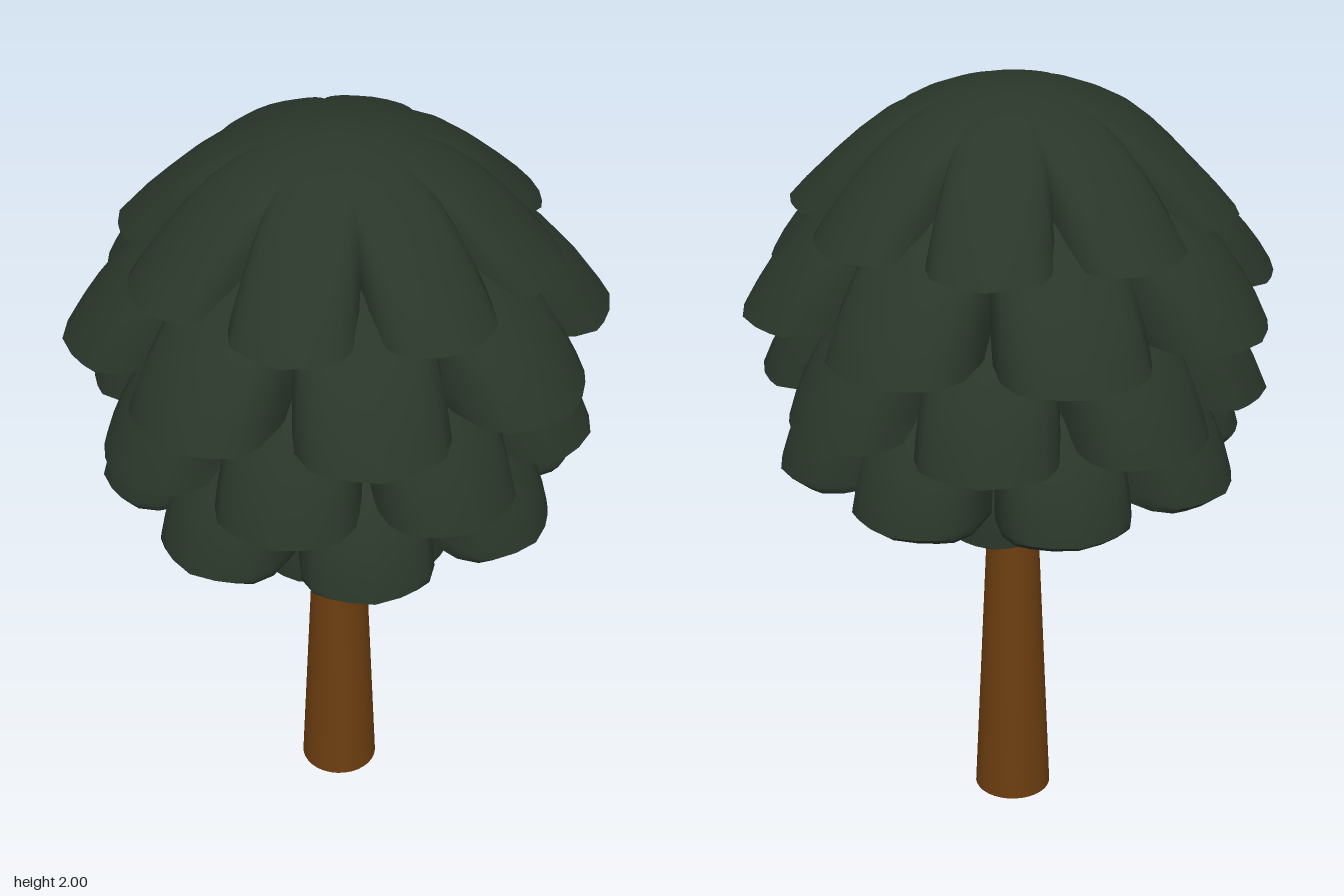
import * as THREE from 'three';
import { toCreasedNormals } from 'three/addons/utils/BufferGeometryUtils.js';

const LOBES = 8;
// Half of one lobe: [angle from the lobe's middle in degrees, radius factor]
const HALF = [[0, 1], [6.3, 0.98], [11, 0.955], [14.6, 0.93], [18.4, 0.854], [20.9, 0.733], [22.5, 0.612]];

// Full scalloped outline as [angle, factor] pairs, one turn
function scallops() {
  const lobe = [...HALF.slice(1, -1).reverse().map(([a, f]) => [-a, f]), ...HALF];
  const out = [];
  for (let i = 0; i < LOBES; i++) {
    for (const [a, f] of lobe) out.push([THREE.MathUtils.degToRad(a + i * 360 / LOBES), f]);
  }
  return out;
}

// A tier is a dome that becomes scalloped towards its rim, closed underneath.
// profile: [radius, y] from top to rim; under: [radius, y] from rim to the middle
function tierGeometry(profile, under) {
  const outline = scallops();
  const n = outline.length;
  const [rim, rimY] = profile[profile.length - 1];
  const topY = profile[0][1];
  const pos = [];
  const index = [];
  const rings = [...profile, ...under];
  rings.forEach(([r, y]) => {
    const w = Math.pow(r / rim, 2.5);
    const lift = 0.06 * Math.max(0, 1 - (y - rimY) / (topY - rimY));
    for (const [a, f] of outline) {
      const k = r * (1 - (1 - f) * w);
      pos.push(k * Math.sin(a), y + lift * (1 - f) * w, k * Math.cos(a));
    }
  });
  for (let i = 0; i < rings.length - 1; i++) {
    for (let j = 0; j < n; j++) {
      const j2 = (j + 1) % n;
      const a = i * n + j, b = a + n, c = (i + 1) * n + j2, d = i * n + j2;
      if (rings[i + 1][0] > 0) index.push(a, b, c);
      if (rings[i][0] > 0) index.push(a, c, d);
    }
  }
  const geo = new THREE.BufferGeometry();
  geo.setAttribute('position', new THREE.Float32BufferAttribute(pos, 3));
  geo.setIndex(index);
  return toCreasedNormals(geo, 0.95);
}

const TIERS = [
  { name: 'crownTier',
    profile: [[0, 2], [0.08, 1.99], [0.14, 1.977], [0.2, 1.957], [0.27, 1.926], [0.33, 1.892], [0.39, 1.845], [0.45, 1.79], [0.51, 1.731], [0.555, 1.68]],
    under: [[0.42, 1.69], [0, 1.69]] },
  { name: 'upperTier', turned: true,
    profile: [[0, 1.85], [0.25, 1.81], [0.38, 1.755], [0.47, 1.7], [0.54, 1.645], [0.61, 1.565], [0.65, 1.51], [0.68, 1.46]],
    under: [[0.5, 1.465], [0, 1.465]] },
  { name: 'middleTier',
    profile: [[0, 1.62], [0.25, 1.6], [0.4, 1.54], [0.48, 1.47], [0.535, 1.41], [0.58, 1.345], [0.615, 1.28], [0.64, 1.22]],
    under: [[0.5, 1.23], [0, 1.23]] },
  { name: 'lowerTier', turned: true,
    profile: [[0, 1.38], [0.3, 1.36], [0.44, 1.29], [0.51, 1.22], [0.55, 1.165], [0.58, 1.105], [0.598, 1.05], [0.602, 1.035]],
    under: [[0.58, 1.018], [0.45, 1.015], [0, 1.015]] },
  { name: 'bottomTier',
    profile: [[0, 1.15], [0.3, 1.14], [0.38, 1.09], [0.395, 1.03], [0.4, 0.98], [0.4, 0.932]],
    under: [[0.25, 0.9], [0, 0.9]] },
];

export function createModel() {
  const bark = new THREE.MeshStandardMaterial({ color: 0x6b3d10 });
  bark.name = 'bark brown';
  const leaf = new THREE.MeshStandardMaterial({ color: 0x2a362a });
  leaf.name = 'leaf dark green';

  const tree = new THREE.Group();
  tree.name = 'tree';

  // Tapered trunk
  const trunk = new THREE.Mesh(new THREE.CylinderGeometry(0.06, 0.1, 0.95, 32), bark);
  trunk.name = 'trunk';
  trunk.position.y = 0.475;
  tree.add(trunk);

  // Foliage tiers, every other one turned by half a lobe
  const foliage = new THREE.Group();
  foliage.name = 'foliage';
  for (const { name, turned, profile, under } of TIERS) {
    const tier = new THREE.Mesh(tierGeometry(profile, under), leaf);
    tier.name = name;
    if (turned) tier.rotation.y = Math.PI / LOBES;
    foliage.add(tier);
  }
  tree.add(foliage);
  return tree;
}
